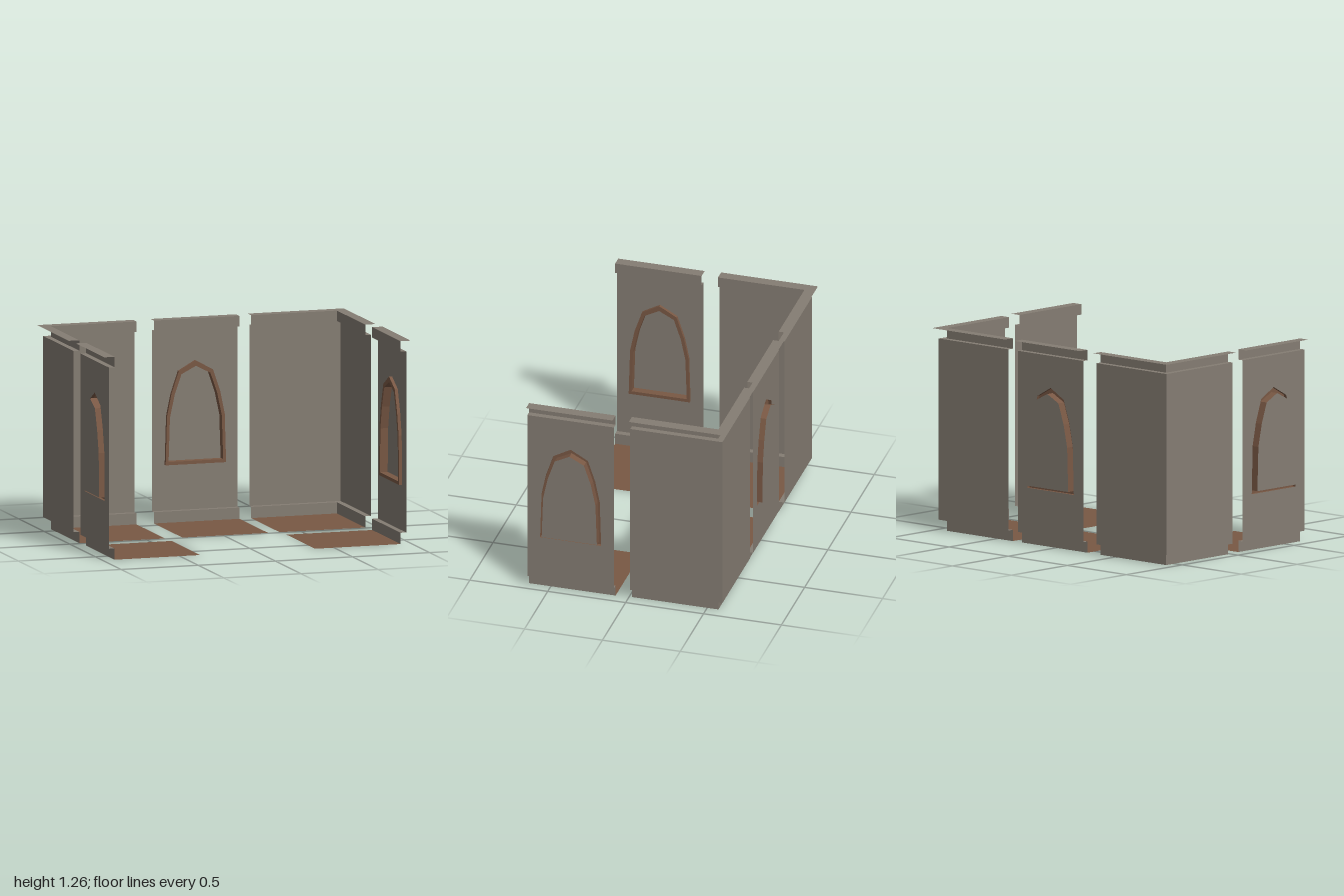
import * as THREE from 'three';

const T = 0.555;                       // floor tile size
const Y0 = 0.07, Y1 = 1.2, H = 1.265;  // skirting, wall and coping heights
const WALL = 0.037, OUT = 0.067, RING = 0.017; // distances outward from the floor edge

const stone = new THREE.MeshStandardMaterial({ color: 0x857d73, side: THREE.DoubleSide });
stone.name = 'stoneGrey';
const brown = new THREE.MeshStandardMaterial({ color: 0x795844, side: THREE.DoubleSide });
brown.name = 'earthBrown';

function add(parent, name, geometry, material) {
  const mesh = new THREE.Mesh(geometry, material);
  mesh.name = name;
  parent.add(mesh);
  return mesh;
}

// Flat-shaded sheet stretched between consecutive rows of points
function loft(rows) {
  const p = [];
  for (let i = 0; i < rows.length - 1; i++) {
    for (let j = 0; j < rows[i].length - 1; j++) {
      const a = rows[i][j], b = rows[i][j + 1], c = rows[i + 1][j + 1], d = rows[i + 1][j];
      p.push(...a, ...b, ...c, ...a, ...c, ...d);
    }
  }
  const g = new THREE.BufferGeometry();
  g.setAttribute('position', new THREE.Float32BufferAttribute(p, 3));
  g.computeVertexNormals();
  return g;
}

// Wall sections as [outward distance, height]
const skirting = [[0, 0], [0, Y0], [WALL, Y0]];
const panel = [[WALL, Y0], [WALL, Y1]];
const coping = [[WALL, Y1], [0, Y1], [0, H], [OUT, H]];

const straightRow = ([d, y]) => [[-T / 2, y, -d], [T / 2, y, -d]];
const cornerRow = ([d, y]) => [[-d, y, T], [-d, y, -d], [T, y, -d]];

function floorTile(parent, x, z) {
  const g = new THREE.PlaneGeometry(T, T).rotateX(-Math.PI / 2).translate(x, 0, z);
  add(parent, 'floor', g, brown);
}

function cornerTile(name) {
  const tile = new THREE.Group();
  tile.name = name;
  floorTile(tile, T / 2, T / 2);
  add(tile, 'skirting', loft(skirting.map(cornerRow)), stone);
  add(tile, 'wall', loft(panel.map(cornerRow)), stone);
  add(tile, 'coping', loft(coping.map(cornerRow)), stone);
  return tile;
}

// Pointed arch outlines: half of each, mirrored about the centre
function arch(half) {
  const mirrored = half.slice(0, -1).reverse().map(([x, y]) => [-x, y]);
  return [...half, ...mirrored];
}
const outer = arch([[0.196, 0.355], [0.187, 0.66], [0.158, 0.8], [0.111, 0.938], [0, 1.0]]);
const inner = arch([[0.177, 0.375], [0.168, 0.65], [0.138, 0.79], [0.094, 0.918], [0, 0.966]]);
const vectors = (pts) => pts.map(([x, y]) => new THREE.Vector2(x, y));

function plate(outline, hole, depth) {
  const shape = new THREE.Shape(vectors(outline));
  if (hole) shape.holes.push(new THREE.Path(vectors(hole)));
  return new THREE.ShapeGeometry(shape).translate(0, 0, -depth);
}

function windowTile(name) {
  const tile = new THREE.Group();
  tile.name = name;
  floorTile(tile, 0, T / 2);
  add(tile, 'skirting', loft(skirting.map(straightRow)), stone);
  add(tile, 'coping', loft(coping.map(straightRow)), stone);
  const h = T / 2;
  add(tile, 'wall', plate([[-h, Y0], [h, Y0], [h, Y1], [-h, Y1]], outer, WALL), stone);
  // Raised frame with a deep reveal, closed by a blind panel
  const ring = (pts, d) => [...pts, pts[0]].map(([x, y]) => [x, y, -d]);
  add(tile, 'windowFrameEdge', loft([ring(outer, WALL), ring(outer, RING)]), brown);
  add(tile, 'windowFrame', plate(outer, inner, RING), brown);
  add(tile, 'windowReveal', loft([ring(inner, RING), ring(inner, OUT)]), brown);
  add(tile, 'windowPanel', plate(inner, null, OUT), stone);
  return tile;
}

export function createModel() {
  const model = new THREE.Group();
  model.name = 'modularRoom';
  const place = (tile, x, z, turn) => {
    tile.position.set(x, 0, z);
    tile.rotation.y = turn * Math.PI / 2;
    model.add(tile);
  };
  place(cornerTile('backRightCorner'), -0.933, -0.572, 0);
  place(cornerTile('backLeftCorner'), 0.921, -0.572, -1);
  place(windowTile('backWindowTile'), 0.0125, -0.57, 0);
  place(windowTile('rightWindowTile'), -0.922, 0.362, 1);
  place(windowTile('leftWindowTile'), 0.932, 0.362, -1);
  return model;
}
